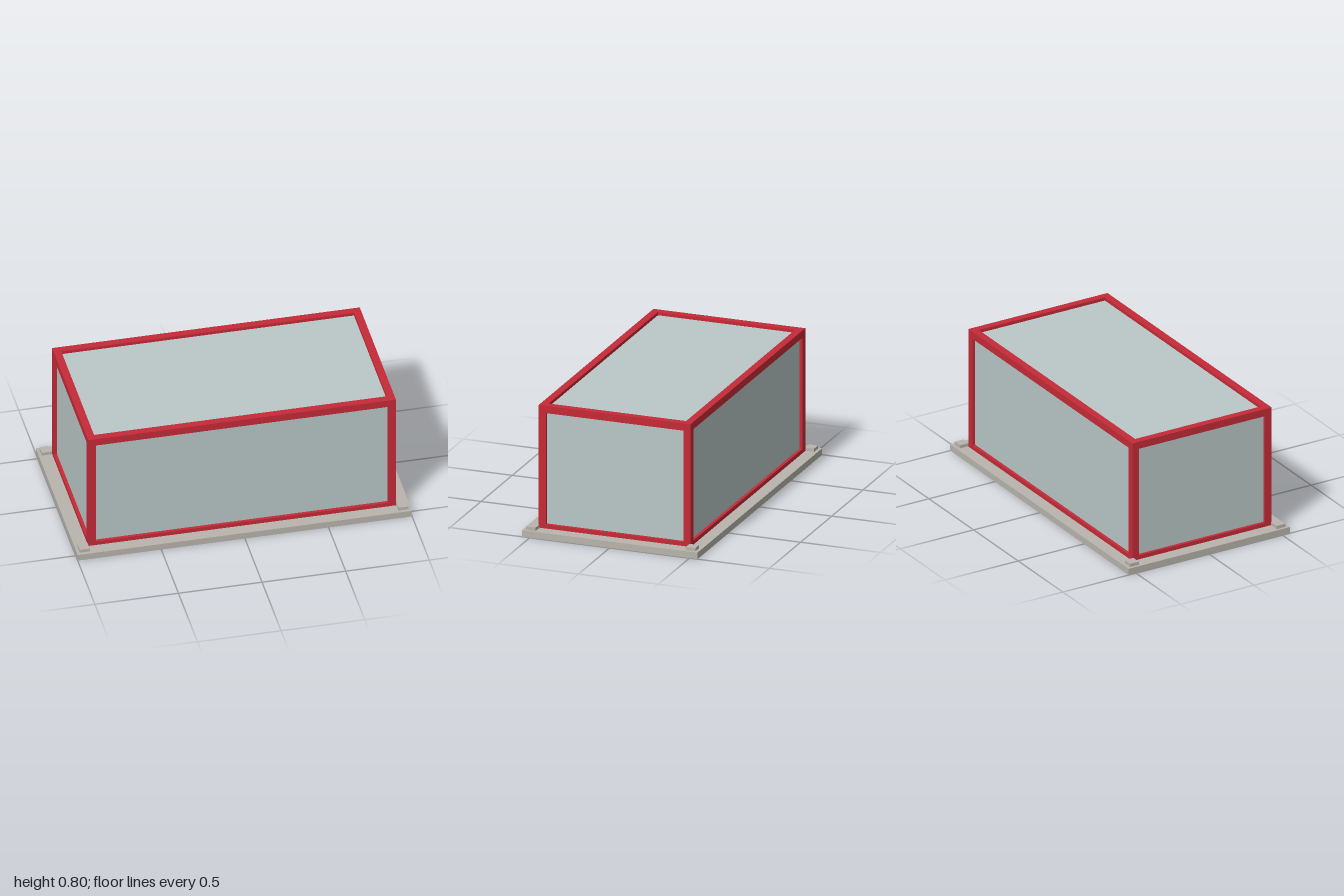
import * as THREE from 'three';

export function createModel() {
  const model = new THREE.Group();
  model.name = 'glassDisplayCase';

  const material = (name, color) => {
    const m = new THREE.MeshStandardMaterial({ color });
    m.name = name;
    return m;
  };
  const red = material('red frame', 0xc62b38);
  const glass = material('pale glass', 0xbac8c7);
  const stone = material('grey stone', 0xb9b5ad);

  const box = (name, mat, size, pos) => {
    const mesh = new THREE.Mesh(new THREE.BoxGeometry(...size), mat);
    mesh.name = name;
    mesh.position.set(...pos);
    model.add(mesh);
  };

  const X = 0.92, Z = 0.475, T = 0.045; // frame half width, half depth, bar thickness
  const base = 0.04, top = 0.797, sill = 0.025;
  const cx = X - T / 2, cz = Z - T / 2; // bar centre lines
  const midY = (base + top) / 2, topY = top - T / 2, sillY = base + sill / 2;

  // Base slab
  box('baseSlab', stone, [2, base, 1.1], [0, base / 2, 0]);

  for (const sx of [-1, 1]) {
    for (const sz of [-1, 1]) {
      // Corner pads and posts
      box('cornerPad', stone, [0.06, 0.02, 0.06], [sx * 0.953, base + 0.01, sz * 0.5]);
      box('cornerPost', red, [T, top - base, T], [sx * cx, midY, sz * cz]);
    }
  }

  for (const s of [-1, 1]) {
    // Rails between the posts
    box('longTopRail', red, [2 * (X - T), T, T], [0, topY, s * cz]);
    box('longBottomRail', red, [2 * (X - T), sill, T], [0, sillY, s * cz]);
    box('shortTopRail', red, [T, T, 2 * (Z - T)], [s * cx, topY, 0]);
    box('shortBottomRail', red, [T, sill, 2 * (Z - T)], [s * cx, sillY, 0]);

    // Recessed wall panes
    const paneH = top - T - base - sill;
    const paneY = base + sill + paneH / 2;
    box('longPane', glass, [2 * (X - T), paneH, 0.006], [0, paneY, s * cz]);
    box('shortPane', glass, [0.006, paneH, 2 * (Z - T)], [s * cx, paneY, 0]);
  }

  // Recessed roof pane
  box('roofPane', glass, [2 * (X - T), 0.006, 2 * (Z - T)], [0, topY, 0]);

  return model;
}
